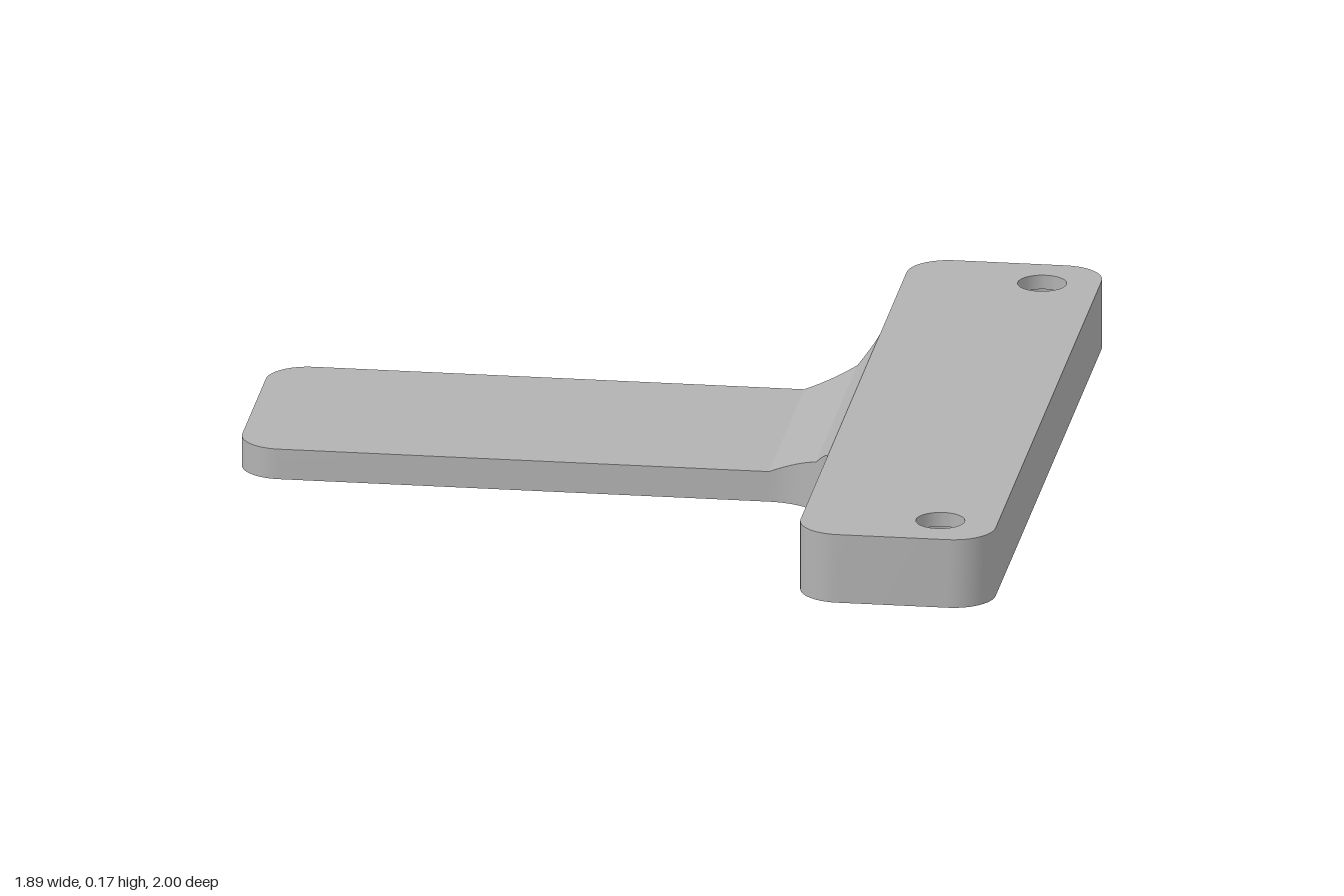
import * as THREE from 'three';
import { mergeGeometries, toCreasedNormals } from 'three/addons/utils/BufferGeometryUtils.js';

const BAR = { x0: 0.482, x1: 0.947, z: 1, h: 0.17, r: 0.1 };
const HOLE = { x: 0.81, z: 0.865, r: 0.058, boreR: 0.1, ledge: 0.135 };

// Non-indexed geometry with smooth curves and sharp edges from a list of quads
function fromQuads(quads) {
  const pos = [];
  for (const [a, b, c, d] of quads) pos.push(...a, ...b, ...c, ...a, ...c, ...d);
  const g = new THREE.BufferGeometry();
  g.setAttribute('position', new THREE.Float32BufferAttribute(pos, 3));
  return toCreasedNormals(g, THREE.MathUtils.degToRad(15));
}

// Vertical wall along a closed plan outline
function wall(points, y0, y1) {
  return fromQuads(points.map((p, i) => {
    const q = points[(i + 1) % points.length];
    return [[p.x, y0, -p.y], [q.x, y0, -q.y], [q.x, y1, -q.y], [p.x, y1, -p.y]];
  }));
}

// Circle running clockwise, so its wall faces the axis
function circle(z, r) {
  return Array.from({ length: 40 }, (_, i) => {
    const a = -i / 40 * Math.PI * 2;
    return new THREE.Vector2(HOLE.x + r * Math.cos(a), z + r * Math.sin(a));
  });
}

function barOutline() {
  const { x0, x1, z, r } = BAR;
  const pts = [];
  [[x1 - r, z - r], [x0 + r, z - r], [x0 + r, -z + r], [x1 - r, -z + r]].forEach(([cx, cy], k) => {
    for (let i = 0; i <= 12; i++) {
      const a = (k + i / 12) * Math.PI / 2;
      pts.push(new THREE.Vector2(cx + r * Math.cos(a), cy + r * Math.sin(a)));
    }
  });
  return pts;
}

function barGeometry() {
  const outline = barOutline();
  const cap = (r) => {
    const shape = new THREE.Shape(outline);
    for (const s of [1, -1]) shape.holes.push(new THREE.Path(circle(s * HOLE.z, r)));
    return new THREE.ShapeGeometry(shape);
  };
  const parts = [
    wall(outline, 0, BAR.h),
    cap(HOLE.r).rotateX(-Math.PI / 2).translate(0, BAR.h, 0),
    cap(HOLE.boreR).rotateX(Math.PI / 2),
  ];
  // Counterbored holes, wide below and narrow above
  for (const s of [1, -1]) {
    parts.push(
      wall(circle(s * HOLE.z, HOLE.boreR), 0, HOLE.ledge),
      wall(circle(s * HOLE.z, HOLE.r), HOLE.ledge, BAR.h),
      new THREE.RingGeometry(HOLE.r, HOLE.boreR, 40).rotateX(Math.PI / 2).translate(HOLE.x, HOLE.ledge, s * HOLE.z),
    );
  }
  return mergeGeometries(parts.map((g) => {
    const n = g.index ? g.toNonIndexed() : g;
    n.deleteAttribute('uv');
    return n;
  }));
}

// Arm lofted along x: [x, half width, height]
function armGeometry() {
  const stations = [];
  const thin = 0.075, half = 0.3, end = -0.947, r = 0.1, R = 0.16;
  for (let i = 0; i <= 12; i++) {
    const a = i / 12 * Math.PI / 2;
    stations.push([end + r - r * Math.cos(a), half - r + r * Math.sin(a), thin]);
  }
  // Flared fillet with a two-slope ramp up to the bar
  const x0 = BAR.x0 - R, bend = Math.asin(0.75);
  for (let i = 0; i <= 16; i++) {
    const t = i <= 8 ? bend * i / 8 : bend + (Math.PI / 2 - bend) * (i - 8) / 8;
    const s = Math.sin(t);
    const h = s <= 0.75 ? thin + 0.048 * s / 0.75 : 0.123 + (BAR.h - 0.123) * (s - 0.75) / 0.25;
    stations.push([x0 + R * s, half + R - R * Math.cos(t), h]);
  }
  const rings = stations.map(([x, w, h]) => [[x, 0, w], [x, h, w], [x, h, -w], [x, 0, -w]]);
  const quads = [[rings[0][3], rings[0][0], rings[0][1], rings[0][2]]];
  for (let i = 0; i < rings.length - 1; i++) {
    for (let k = 0; k < 4; k++) {
      const n = (k + 1) % 4;
      quads.push([rings[i][k], rings[i + 1][k], rings[i + 1][n], rings[i][n]]);
    }
  }
  return fromQuads(quads);
}

export function createModel() {
  const grey = new THREE.MeshStandardMaterial({ color: 0xb2b2b2 });
  grey.name = 'plain grey';
  const group = new THREE.Group();
  group.name = 'teeBracket';
  for (const [name, geometry] of [['crossBar', barGeometry()], ['arm', armGeometry()]]) {
    const mesh = new THREE.Mesh(geometry, grey);
    mesh.name = name;
    group.add(mesh);
  }
  return group;
}
